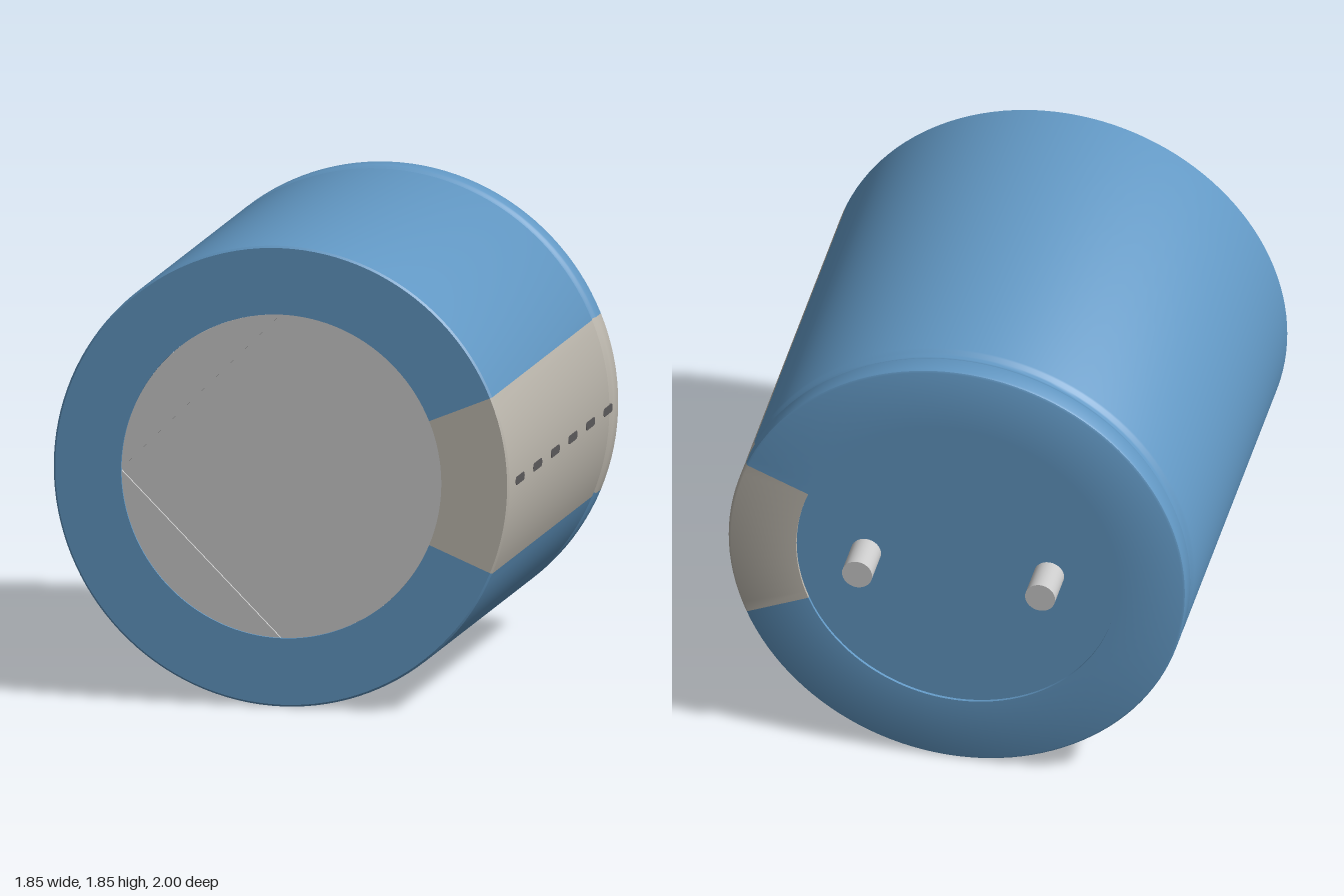
import * as THREE from 'three';
import { toCreasedNormals } from 'three/addons/utils/BufferGeometryUtils.js';

const R = 0.925;       // can radius, also the height of its axis
const CAP = 0.65;      // radius of the end discs
const FRONT = 1, BACK = -0.85;

const mat = (color) => new THREE.MeshStandardMaterial({ color });
const blue = mat(0x6298c4), cream = mat(0xbdb8ae), dark = mat(0x5c5a5b), grey = mat(0xcccccc);

function add(parent, name, geometry, material, x = 0, y = 0, z = 0) {
  const mesh = new THREE.Mesh(geometry, material);
  mesh.name = name;
  mesh.position.set(x, y, z);
  parent.add(mesh);
  return mesh;
}

// Sleeve profile from the back opening, over the crimp groove, to the front opening
function sleeveProfile() {
  const p = [[CAP, BACK + 0.015], [CAP, BACK], [R - 0.012, BACK], [R - 0.004, BACK + 0.004], [R, BACK + 0.012]];
  for (let i = 0; i <= 10; i++) {
    const t = i / 10;
    p.push([R - 0.018 * Math.sin(Math.PI * t) ** 1.3, -0.765 + 0.075 * t]);
  }
  p.push([R, FRONT - 0.008], [R - 0.008, FRONT], [CAP, FRONT], [CAP, FRONT - 0.015]);
  return p.map(([r, h]) => new THREE.Vector2(r, h));
}

// Part of the sleeve swept round the z axis
function sleeve(start, sweep, segments) {
  const g = new THREE.LatheGeometry(sleeveProfile(), segments, start, sweep).rotateX(Math.PI / 2);
  return toCreasedNormals(g, 0.6);
}

export function createModel() {
  const group = new THREE.Group();
  group.name = 'capacitor';
  const can = new THREE.Group();
  can.name = 'can';
  can.position.y = R;
  group.add(can);

  // Wrapped sleeve and its polarity stripe on the +x side
  const half = Math.PI / 8;
  add(can, 'sleeve', sleeve(Math.PI / 2 + half, 2 * Math.PI - 2 * half, 112), blue);
  add(can, 'polarityStripe', sleeve(Math.PI / 2 - half, 2 * half, 16), cream);

  // Polarity dashes
  const w = 0.0725, h = 0.0165;
  const dash = new THREE.Shape();
  dash.absarc(w - h, 0, h, -Math.PI / 2, Math.PI / 2);
  dash.absarc(h - w, 0, h, Math.PI / 2, Math.PI * 1.5);
  dash.closePath();
  const dashGeo = new THREE.ExtrudeGeometry(dash, { depth: 0.03, bevelEnabled: false, curveSegments: 8 });
  dashGeo.rotateY(Math.PI / 2);
  for (let i = 0; i < 6; i++) add(can, 'polarityDash', dashGeo, dark, R - 0.028, 0, 0.817 - 0.296 * i);

  // Front vent: four quadrants parted by a scored cross over a floor disc
  add(can, 'ventFloor', new THREE.CircleGeometry(CAP, 96), grey, 0, 0, FRONT - 0.015);
  const gap = 0.004;
  const a = Math.asin(gap / CAP);
  const quarter = new THREE.Shape();
  quarter.moveTo(gap, gap);
  quarter.absarc(0, 0, CAP - 0.001, a, Math.PI / 2 - a);
  quarter.closePath();
  const quarterGeo = new THREE.ExtrudeGeometry(quarter, { depth: 0.01, bevelEnabled: false, curveSegments: 24 });
  for (let i = 0; i < 4; i++) {
    add(can, 'ventQuadrant', quarterGeo, grey, 0, 0, FRONT - 0.015).rotation.z = i * Math.PI / 2;
  }

  // Back base disc, slightly sunk
  add(can, 'base', new THREE.CircleGeometry(CAP, 96), blue, 0, 0, BACK + 0.012).rotation.y = Math.PI;

  // Terminal pins
  const pinGeo = new THREE.CylinderGeometry(0.061, 0.061, 0.17, 32).rotateX(Math.PI / 2);
  for (const x of [-0.37, 0.37]) add(can, 'terminalPin', pinGeo, grey, x, 0, -0.915);

  return group;
}
